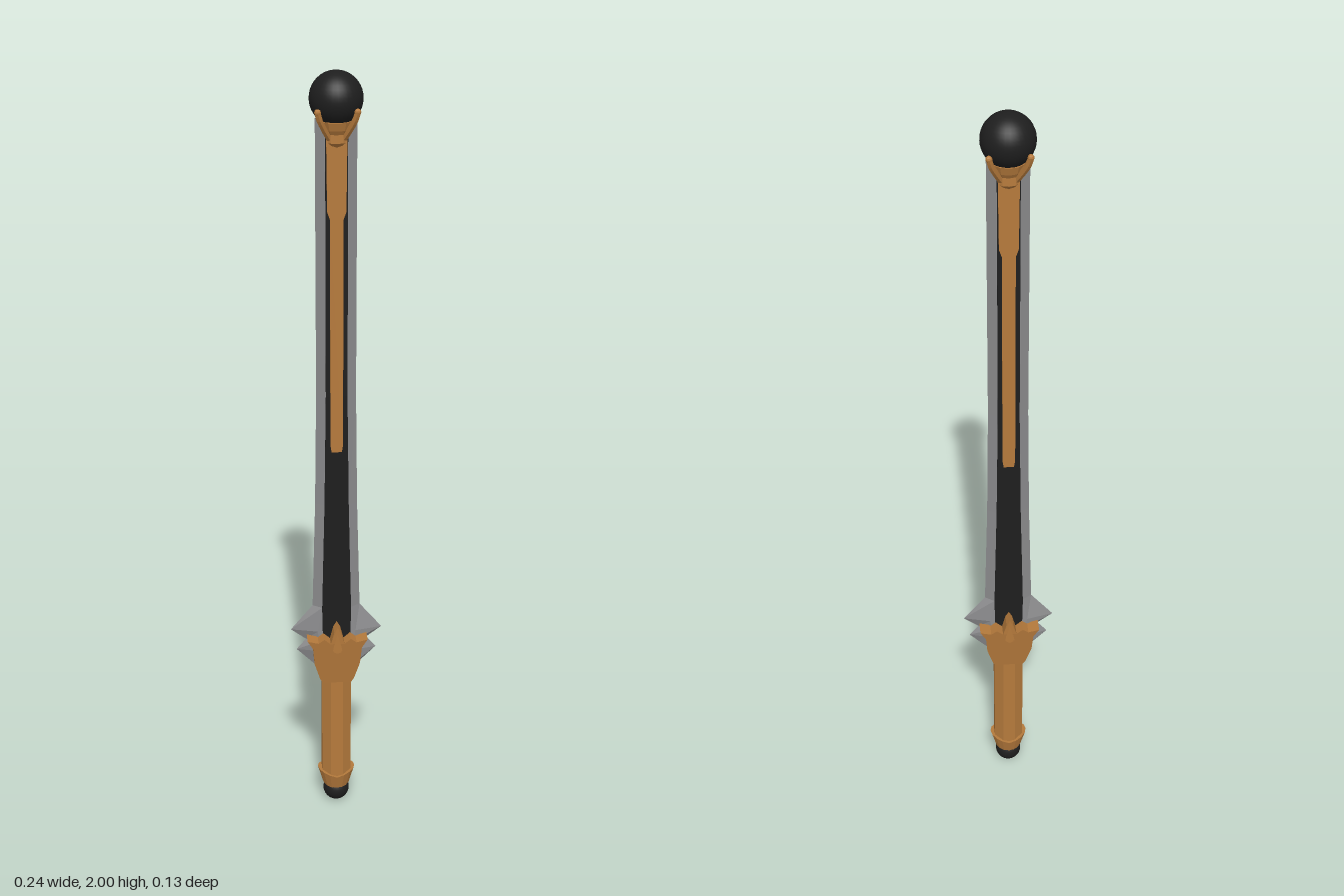
import * as THREE from 'three';

const mat = (name, color, opts = {}) => {
  const m = new THREE.MeshStandardMaterial({ color, ...opts });
  m.name = name;
  return m;
};

export function createModel() {
  const steel = mat('steel', 0x8c8c8e, { flatShading: true });
  const gold = mat('gold', 0xb57a3c, { flatShading: true });
  const black = mat('black', 0x1e1e1e);
  const root = new THREE.Group();
  root.name = 'sword';

  const add = (name, geo, material, parent = root) => {
    const mesh = new THREE.Mesh(geo, material);
    mesh.name = name;
    parent.add(mesh);
    return mesh;
  };

  // Mirrored outline from its right-hand points, listed bottom to top
  const mirrored = (pts) => new THREE.Shape(
    [...pts, ...pts.filter(p => p[0] > 0).reverse().map(([x, y]) => [-x, y])].map(p => new THREE.Vector2(...p)));

  const plate = (pts, z0, z1) => {
    const g = new THREE.ExtrudeGeometry(mirrored(pts), { depth: z1 - z0, bevelEnabled: false });
    return g.translate(0, 0, z0);
  };

  // Hexagonal blade sections: y, edge half width, flat half width, half thickness
  const sections = [
    [0.42, 0.05, 0.03, 0.016], [0.475, 0.105, 0.04, 0.018], [0.505, 0.08, 0.045, 0.018],
    [0.535, 0.12, 0.05, 0.018], [0.605, 0.062, 0.038, 0.017], [0.9, 0.054, 0.031, 0.016],
    [1.2, 0.05, 0.028, 0.016], [1.89, 0.05, 0.028, 0.016],
  ];
  const pos = [], idx = [];
  for (const [y, w, f, t] of sections)
    pos.push(w, y, 0, f, y, t, -f, y, t, -w, y, 0, -f, y, -t, f, y, -t);
  for (let s = 0; s < sections.length - 1; s++)
    for (let k = 0; k < 6; k++) {
      const a = s * 6 + k, b = s * 6 + (k + 1) % 6;
      idx.push(a, a + 6, b, b, a + 6, b + 6);
    }
  const top = (sections.length - 1) * 6;
  for (let k = 1; k < 5; k++) {
    idx.push(0, k, k + 1);
    idx.push(top, top + k + 1, top + k);
  }
  const blade = new THREE.BufferGeometry();
  blade.setAttribute('position', new THREE.Float32BufferAttribute(pos, 3));
  blade.setIndex(idx);
  // Sections run clockwise from above, so the order is turned where needed
  blade.computeVertexNormals();
  add('blade', blade, steel);

  // Guard plates lean outward towards the top
  const lean = (geo, offset) => {
    const p = geo.attributes.position;
    for (let i = 0; i < p.count; i++) {
      if (p.getZ(i) < 0.02) continue;
      const k = THREE.MathUtils.clamp((p.getY(i) - 0.385) / 0.145, 0, 1);
      p.setZ(i, 0.033 + 0.022 * k + offset);
    }
    geo.computeVertexNormals();
    return geo;
  };
  const chevron = (y, w, rise) => [[0, y], [w, y + rise], [w + 0.004, y + rise + 0.02], [0, y + 0.016]];

  // Front and back faces share the same fittings
  for (const side of ['front', 'back']) {
    const face = new THREE.Group();
    face.name = side + 'Fittings';
    if (side === 'back') face.rotation.y = Math.PI;
    root.add(face);

    add('bladeInlay', plate([[0.036, 0.5], [0.038, 0.6], [0.031, 0.9], [0.027, 1.2], [0.027, 1.88]], 0.012, 0.0185), black, face);
    add('goldStrip', plate([[0.013, 1.05], [0.016, 1.07], [0.016, 1.65], [0.023, 1.67], [0.025, 1.85]], 0.012, 0.0215), gold, face);

    add('guardPlate', lean(plate([[0.036, 0.385], [0.045, 0.4], [0.06, 0.45], [0.064, 0.5],
      [0.079, 0.526], [0.05, 0.518], [0.035, 0.53], [0.018, 0.515], [0.009, 0.55], [0, 0.565]], 0.014, 0.04), 0), gold, face);
    [[0.405, 0.036, 0.025], [0.438, 0.046, 0.028], [0.472, 0.054, 0.026]].forEach(([y, w, r]) =>
      add('guardChevron', lean(plate(chevron(y, w, r), 0.03, 0.05), 0.005), gold, face));
    const spike = add('guardSpike', new THREE.ConeGeometry(0.013, 0.07, 4), gold, face);
    spike.position.set(0, 0.525, 0.052);
    spike.scale.z = 0.6;
  }

  // Guard core joining the two plates below the blade
  const core = new THREE.CylinderGeometry(0.052, 0.04, 0.065, 8);
  core.rotateY(Math.PI / 8).scale(1, 1, 0.82).translate(0, 0.415, 0);
  add('guardCore', core, gold);

  // Faceted grip
  const grip = new THREE.CylinderGeometry(0.042, 0.042, 0.32, 8);
  grip.rotateY(Math.PI / 8).scale(1, 1, 0.86).translate(0, 0.235, 0);
  add('grip', grip, gold);

  // Pommel collar with a top edge that dips at front and back
  const collar = new THREE.CylinderGeometry(0.05, 0.036, 0.045, 16, 2);
  const cp = collar.attributes.position;
  for (let i = 0; i < cp.count; i++) {
    const dip = Math.abs(cp.getX(i)) / 0.05;
    cp.setXYZ(i, cp.getX(i), cp.getY(i) + 0.075 + 0.014 * (dip - 0.5), cp.getZ(i) * 0.84);
  }
  collar.computeVertexNormals();
  add('pommelCollar', collar, gold);
  add('pommelBall', new THREE.SphereGeometry(0.035, 24, 16).translate(0, 0.036, 0), black);

  // Orb at the tip with its socket and four claws
  add('tipOrb', new THREE.SphereGeometry(0.064, 32, 20).translate(0, 1.936, 0), black);
  const socket = new THREE.LatheGeometry([[0.001, 1.795], [0.018, 1.8], [0.022, 1.825], [0.031, 1.835],
    [0.03, 1.855], [0.036, 1.865], [0.042, 1.885], [0.001, 1.9]].map(p => new THREE.Vector2(...p)), 12);
  add('orbSocket', socket, gold);
  for (let k = 0; k < 4; k++) {
    const a = Math.PI / 4 + k * Math.PI / 2;
    const curve = new THREE.CatmullRomCurve3([[0.025, 1.845], [0.044, 1.87], [0.059, 1.893], [0.066, 1.912]]
      .map(([r, y]) => new THREE.Vector3(r * Math.cos(a), y, r * Math.sin(a))));
    add('orbClaw', new THREE.TubeGeometry(curve, 8, 0.008, 6), gold);
    const tip = add('clawTip', new THREE.SphereGeometry(0.008, 8, 6), gold);
    tip.position.copy(curve.getPoint(1));
  }
  return root;
}
